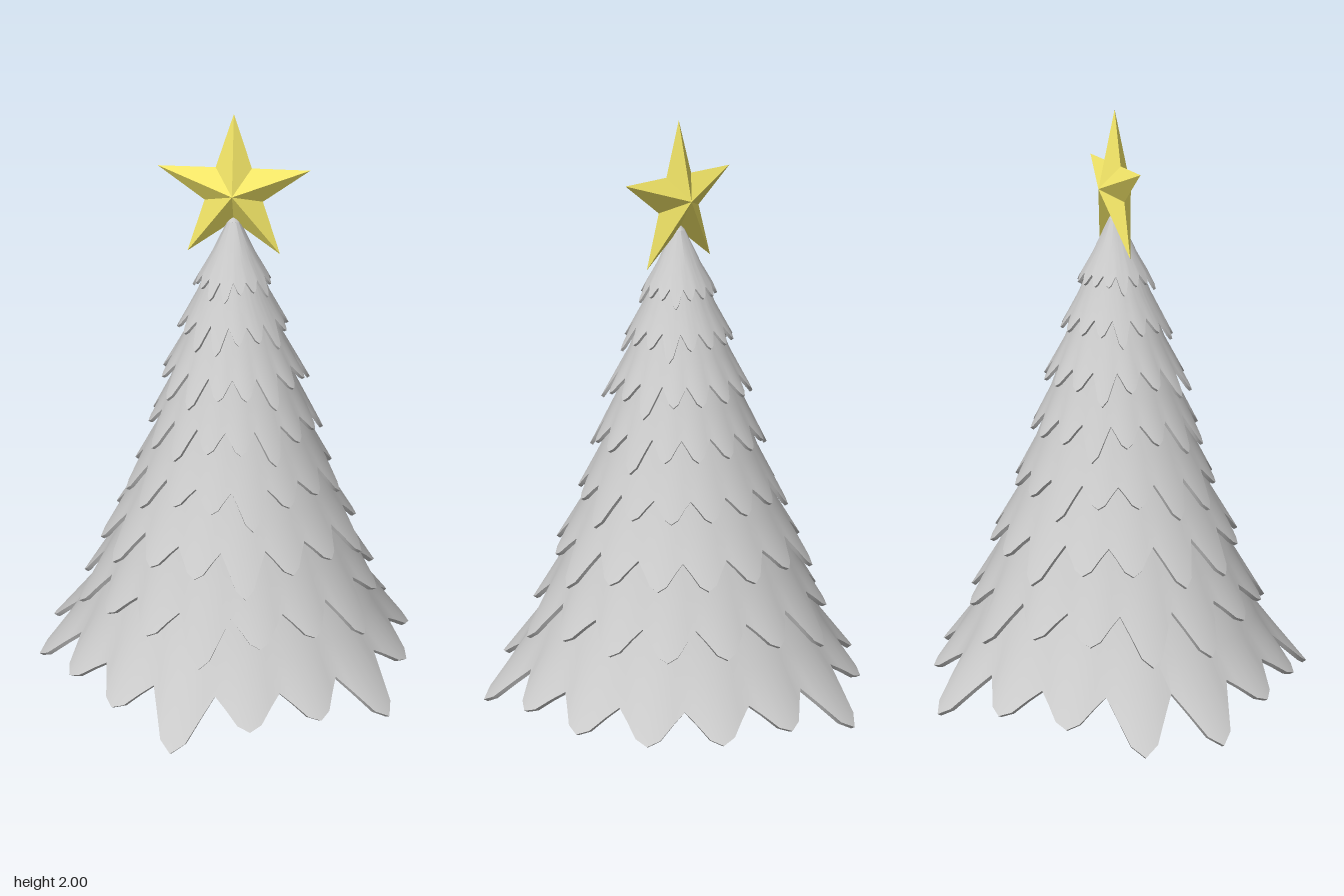
import * as THREE from 'three';
import { toCreasedNormals } from 'three/addons/utils/BufferGeometryUtils.js';

const AXIS_X = 0.02;
const LOBES = 16, STEPS = 6, N = LOBES * STEPS;
const LONG_LOBES = [1, 4, 7, 8, 11];

// Each tier: [valley r, y], [short tip r, y], [long tip r, y]
const TIERS = [
  [[0.555, 0.16], [0.64, 0.075], [0.697, 0.01]],
  [[0.45, 0.40], [0.515, 0.315], [0.55, 0.255]],
  [[0.38, 0.61], [0.435, 0.53], [0.465, 0.48]],
  [[0.31, 0.80], [0.35, 0.735], [0.375, 0.685]],
  [[0.25, 0.99], [0.29, 0.925], [0.31, 0.88]],
  [[0.205, 1.16], [0.245, 1.10], [0.265, 1.06]],
  [[0.155, 1.325], [0.185, 1.275], [0.2, 1.24]],
  [[0.11, 1.465], [0.127, 1.43], [0.14, 1.405]],
];

// A thin flared skirt with a scalloped hem, swept as rings of points
function tierGeometry([valley, short, long], top, index) {
  const offset = (index % 2) * -0.09;
  const thick = 0.007 + 0.007 * (1 - index / TIERS.length);
  const shoulder = [
    top[0] + (valley[0] - top[0]) * 0.6,
    top[1] + (valley[1] - top[1]) * 0.65,
  ];
  const positions = [], indices = [];
  const rings = 6;
  for (let row = 0; row < rings; row++) {
    const inner = row > 2;
    const level = inner ? 5 - row : row;
    for (let j = 0; j < N; j++) {
      const lobe = Math.floor(j / STEPS);
      const isLong = LONG_LOBES.includes((lobe + (index >> 1)) % LOBES);
      const tip = isLong ? long : short;
      const t = Math.pow(Math.sin(Math.PI * (j % STEPS) / STEPS), 1.5);
      const hem = [0, 1].map(k => valley[k] + (tip[k] - valley[k]) * t);
      let [r, y] = [top, shoulder, hem][level];
      if (inner) { r -= thick; y -= thick * 0.6; }
      const a = offset + j / N * Math.PI * 2;
      positions.push(r * Math.cos(a), y, r * Math.sin(a));
    }
  }
  for (let row = 0; row < rings - 1; row++) {
    for (let j = 0; j < N; j++) {
      const k = (j + 1) % N;
      const a = row * N + j, b = row * N + k, c = a + N, d = b + N;
      indices.push(a, b, c, b, d, c);
    }
  }
  const geometry = new THREE.BufferGeometry();
  geometry.setAttribute('position', new THREE.Float32BufferAttribute(positions, 3));
  geometry.setIndex(indices);
  return toCreasedNormals(geometry, 0.6);
}

// Five-pointed star, pyramidal on both faces with a sharp rim
function starGeometry(outer, inner, depth) {
  const rim = Array.from({ length: 10 }, (_, i) => {
    const a = Math.PI / 2 + i * Math.PI / 5, r = i % 2 ? inner : outer;
    return [r * Math.cos(a), r * Math.sin(a), 0];
  });
  const positions = [];
  rim.forEach((p, i) => {
    const q = rim[(i + 1) % 10];
    positions.push(0, 0, depth, ...p, ...q, 0, 0, -depth, ...q, ...p);
  });
  const geometry = new THREE.BufferGeometry();
  geometry.setAttribute('position', new THREE.Float32BufferAttribute(positions, 3));
  geometry.computeVertexNormals();
  return geometry;
}

export function createModel() {
  const tree = new THREE.Group();
  tree.name = 'tree';
  const grey = new THREE.MeshStandardMaterial({ color: 0xcccccc, side: THREE.DoubleSide });
  const yellow = new THREE.MeshStandardMaterial({ color: 0xf5e868, flatShading: true });

  const add = (name, geometry, material, y = 0) => {
    const mesh = new THREE.Mesh(geometry, material);
    mesh.name = name;
    mesh.position.set(AXIS_X, y, 0);
    tree.add(mesh);
  };

  // Hollow branch tiers, each tucked beneath the next
  TIERS.forEach((tier, i) => {
    const next = TIERS[i + 1];
    const top = next ? [next[0][0] - 0.04, next[0][1] + 0.05] : [0.02, 1.64];
    add('branchTier' + (i + 1), tierGeometry(tier, top, i), grey);
  });

  // Closed tip and the star on top
  add('treeTip', new THREE.ConeGeometry(0.02, 0.025, 16, 1, true), grey, 1.6525);
  add('star', starGeometry(0.26, 0.1, 0.057), yellow, 1.74);

  return tree;
}
